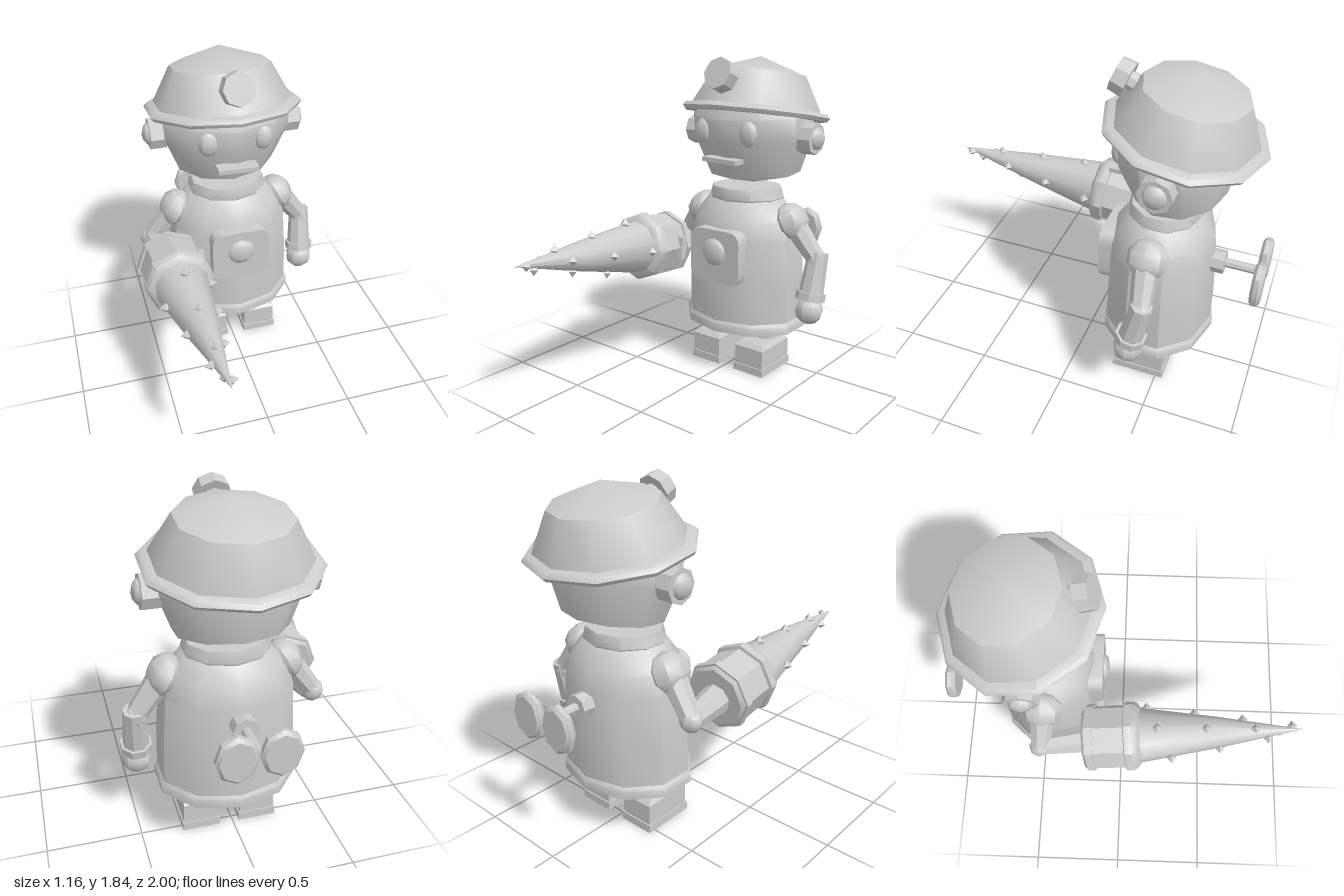
import * as THREE from 'three';
import { toCreasedNormals } from 'three/addons/utils/BufferGeometryUtils.js';

const V = (x, y, z) => new THREE.Vector3(x, y, z);
const UP = V(0, 1, 0);
const CX = 0.02, CZ = -0.43; // body axis

export function createModel() {
  const robot = new THREE.Group();
  robot.name = 'minerRobot';
  const material = new THREE.MeshStandardMaterial({ color: 0xcccccc });

  function add(parent, name, geometry, position = [0, 0, 0], rotation = [0, 0, 0]) {
    const mesh = new THREE.Mesh(toCreasedNormals(geometry, 0.72), material);
    mesh.name = name;
    mesh.position.set(...position);
    mesh.rotation.set(...rotation);
    parent.add(mesh);
    return mesh;
  }
  function group(name, position = [0, 0, 0], rotation = [0, 0, 0]) {
    const g = new THREE.Group();
    g.name = name;
    g.position.set(...position);
    g.rotation.set(...rotation);
    robot.add(g);
    return g;
  }
  // Turned profile of [radius, height] pairs, bottom to top
  const lathe = (profile, sides, depth = 1) =>
    new THREE.LatheGeometry(profile.map(p => new THREE.Vector2(...p)), sides).scale(1, 1, depth);
  const ball = (r, w = 8, h = 6) => new THREE.SphereGeometry(r, w, h);
  const drum = (r1, r2, h, sides = 8) => new THREE.CylinderGeometry(r1, r2, h, sides);
  // Tapered segment between two points
  function limb(parent, name, a, b, ra, rb, sides = 8) {
    const dir = b.clone().sub(a);
    const mesh = add(parent, name, drum(rb, ra, dir.length(), sides));
    mesh.position.copy(a).addScaledVector(dir, 0.5);
    mesh.quaternion.setFromUnitVectors(UP, dir.normalize());
    return mesh;
  }

  // Torso
  const torso = group('torso', [CX, 0, CZ]);
  add(torso, 'body', lathe([[0, 0.3], [0.37, 0.3], [0.367, 0.55], [0.35, 0.83], [0.32, 0.93],
    [0.24, 1.03], [0.19, 1.06], [0, 1.06]], 10, 0.82));
  add(torso, 'bottomRim', lathe([[0, 0.27], [0.385, 0.27], [0.385, 0.315], [0.37, 0.335], [0.34, 0.335]], 10, 0.82));
  add(torso, 'collar', lathe([[0.18, 1.0], [0.22, 1.02], [0.232, 1.04], [0.215, 1.1], [0, 1.1]], 10, 0.87));

  // Chest panel with knob
  const w = 0.17, h = 0.157, r = 0.07;
  const outline = new THREE.Shape();
  outline.moveTo(-w + r, -h);
  outline.lineTo(w - r, -h).quadraticCurveTo(w, -h, w, -h + r);
  outline.lineTo(w, h - r).quadraticCurveTo(w, h, w - r, h);
  outline.lineTo(-w + r, h).quadraticCurveTo(-w, h, -w, h - r);
  outline.lineTo(-w, -h + r).quadraticCurveTo(-w, -h, -w + r, -h);
  add(robot, 'chestPanel', new THREE.ExtrudeGeometry(outline,
    { depth: 0.09, bevelEnabled: false, curveSegments: 4 }), [CX, 0.728, -0.2]);
  add(robot, 'chestKnob', ball(0.08).scale(1, 1, 0.4), [CX, 0.755, -0.108]);

  // Legs and boots
  for (const side of [-1, 1]) {
    const leg = group(side > 0 ? 'leftLeg' : 'rightLeg', [CX + side * 0.157, 0, 0]);
    add(leg, 'sole', new THREE.BoxGeometry(0.205, 0.045, 0.3), [0, 0.0225, -0.39]);
    add(leg, 'boot', new THREE.BoxGeometry(0.192, 0.115, 0.285), [0, 0.1, -0.39]);
    const top = drum(0.81, 1, 1, 4).rotateY(Math.PI / 4).scale(0.192 / Math.SQRT2, 0.025, 0.285 / Math.SQRT2);
    add(leg, 'bootTop', top, [0, 0.17, -0.39]);
    add(leg, 'ankle', drum(0.065, 0.065, 0.08), [0, 0.2, CZ]);
    add(leg, 'legRing', drum(0.095, 0.095, 0.07, 10), [0, 0.24, CZ]);
  }

  // Head, ears and face
  const head = group('head', [CX, 1.43, -0.475]);
  add(head, 'skull', lathe([[0, -0.325], [0.29, -0.25], [0.375, -0.03], [0.375, 0.1], [0.28, 0.22], [0, 0.3]],
    10, 0.82), [0, 0, 0], [0.1, 0, 0]);
  for (const side of [-1, 1]) {
    add(head, 'ear', drum(0.09, 0.09, 0.09), [side * 0.387, -0.03, 0], [0, 0, Math.PI / 2]);
    add(head, 'earKnob', ball(0.065).scale(0.7, 1, 1), [side * 0.425, -0.03, 0]);
    add(head, 'eye', ball(0.06, 8, 6).scale(0.95, 1.25, 0.7), [side * 0.152, 0, 0.262]);
  }
  add(head, 'mouth', new THREE.BoxGeometry(0.23, 0.025, 0.08), [0, -0.155, 0.29], [0, 0, -0.03]);

  // Helmet leaning back, with lamp
  const helmet = group('helmet', [CX, 1.52, -0.497], [-0.166, 0, 0]);
  add(helmet, 'helmetDome', lathe([[0, -0.01], [0.4, -0.01], [0.39, 0.03], [0.283, 0.225], [0, 0.324]], 10, 0.95));
  add(helmet, 'brim', lathe([[0.36, -0.02], [0.435, -0.02], [0.448, 0], [0.43, 0.02], [0.37, 0.03]], 10, 0.95));
  add(robot, 'helmetLamp', drum(0.09, 0.095, 0.075), [CX, 1.745, -0.165], [Math.PI / 2 - 0.37, 0, 0]);
  limb(robot, 'lampMount', V(CX, 1.7, -0.28), V(CX, 1.74, -0.18), 0.05, 0.05);

  // Wind-up key on the back
  const key = group('windUpKey', [CX, 0.755, 0]);
  add(key, 'keySocket', drum(0.065, 0.065, 0.1), [0, 0, -0.725], [Math.PI / 2, 0, 0]);
  add(key, 'keyShaft', drum(0.025, 0.025, 0.25), [0, 0, -0.845], [Math.PI / 2, 0, 0]);
  for (const side of [-1, 1]) {
    const wing = lathe([[0, -0.028], [0.108, -0.028], [0.127, -0.012], [0.127, 0.012], [0.108, 0.028], [0, 0.028]], 8);
    add(key, 'keyWing', wing.scale(0.83, 1, 1), [side * 0.108, 0, -0.97], [Math.PI / 2, 0, 0]);
  }

  // Shoulders and upper arms
  for (const side of [-1, 1]) {
    const arm = group(side > 0 ? 'leftUpperArm' : 'rightUpperArm');
    const x = d => CX + side * d;
    add(arm, 'shoulder', ball(0.115, 8, 5).scale(0.82, 0.95, 1), [x(0.315), 0.925, CZ], [0, 0, side * 0.5]);
    limb(arm, 'upperArm', V(x(0.34), 0.9, CZ), V(x(0.475), 0.72, CZ - 0.02), 0.07, 0.055);
    add(arm, 'elbow', ball(0.062), [x(0.472), 0.72, CZ - 0.02]);
  }

  // Left forearm, cuff and hand
  const forearm = group('leftForearm');
  limb(forearm, 'forearm', V(0.5, 0.76, -0.46), V(0.49, 0.51, -0.405), 0.058, 0.072);
  limb(forearm, 'cuff', V(0.491, 0.535, -0.41), V(0.489, 0.49, -0.4), 0.085, 0.085);
  add(forearm, 'hand', ball(0.082), [0.49, 0.43, -0.395]);

  // Right forearm carrying the drill
  const base = V(-0.395, 0.728, -0.2), tip = V(-0.345, 0.866, 1);
  limb(robot, 'rightForearm', V(-0.445, 0.72, -0.44), V(-0.4, 0.727, -0.18), 0.06, 0.085);
  const drill = group('drill');
  drill.position.copy(base);
  drill.lookAt(tip);
  const along = g => g.rotateX(Math.PI / 2);
  add(drill, 'drillHousing', along(lathe([[0, 0], [0.165, 0], [0.18, 0.015], [0.18, 0.23], [0.198, 0.235],
    [0.198, 0.275], [0.185, 0.3], [0.155, 0.32], [0, 0.32]], 8)));
  add(drill, 'rearBand', along(lathe([[0.17, 0.02], [0.192, 0.02], [0.192, 0.06], [0.17, 0.06]], 8)));
  add(drill, 'housingLatch', new THREE.BoxGeometry(0.03, 0.13, 0.04), [0.175, 0, 0.1]);
  const length = base.distanceTo(tip);
  add(drill, 'drillCone', along(lathe([[0.155, 0.3], [0.085, 0.75], [0, length]], 10)));

  // Studs winding around the cone, four per turn
  for (let i = 0; i < 13; i++) {
    const z = 0.35 + i * 0.0665, angle = i * Math.PI / 2;
    const radius = 0.155 * (length - z) / (length - 0.3) + 0.008;
    add(drill, 'drillStud', new THREE.OctahedronGeometry(0.028).scale(1.2, 1, 1),
      [Math.cos(angle) * radius, Math.sin(angle) * radius, z], [0, 0, angle]);
  }
  return robot;
}
